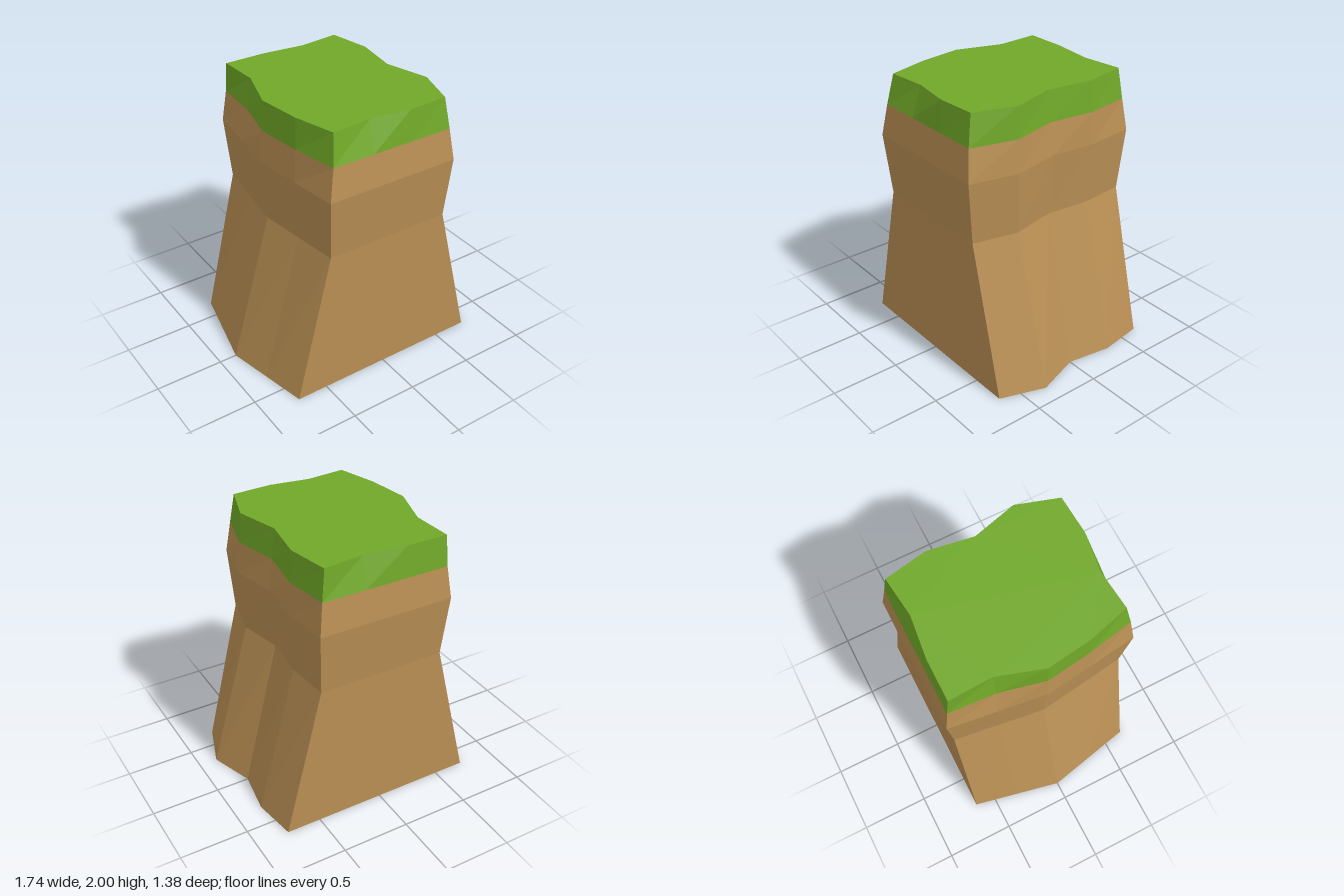
import * as THREE from 'three';

const brown = new THREE.MeshStandardMaterial({ color: 0xb98f54, flatShading: true });
const green = new THREE.MeshStandardMaterial({ color: 0x70a828, flatShading: true });

// Outline at one height, running from the back right corner anticlockwise seen from above.
// left: x of the left-hand side in the top plan, back to front; right: front to back.
function ring(y, depth, left, right) {
  const zs = [-1, -0.5, 0, 0.5, 1].map(t => t * depth);
  const pts = left.map((x, i) => [x, y, zs[i]]);
  const edge = (x0, x1, z) => [1 / 3, 2 / 3].map(t => [x0 + (x1 - x0) * t, y, z]);
  pts.push(...edge(left[4], right[0], depth));
  right.forEach((x, i) => pts.push([x, y, zs[4 - i]]));
  pts.push(...edge(right[4], left[0], -depth));
  return pts;
}

// Skin between successive outlines
function wall(rings) {
  const pos = [];
  for (let k = 0; k < rings.length - 1; k++) {
    const lo = rings[k], hi = rings[k + 1], n = lo.length;
    for (let i = 0; i < n; i++) {
      const j = (i + 1) % n;
      pos.push(...lo[i], ...lo[j], ...hi[j], ...lo[i], ...hi[j], ...hi[i]);
    }
  }
  const g = new THREE.BufferGeometry();
  g.setAttribute('position', new THREE.Float32BufferAttribute(pos, 3));
  g.computeVertexNormals();
  return g;
}

// Flat cap over an outline, facing up (dir = 1) or down (dir = -1)
function cap(pts, dir) {
  const shape = new THREE.Shape(pts.map(p => new THREE.Vector2(p[0], -dir * p[2])));
  return new THREE.ShapeGeometry(shape).rotateX(-dir * Math.PI / 2).translate(0, pts[0][1], 0);
}

export function createModel() {
  const group = new THREE.Group();
  const add = (name, geometry, material) => {
    const mesh = new THREE.Mesh(geometry, material);
    mesh.name = name;
    group.add(mesh);
  };

  const foot = ring(0, 0.65, [-0.73, -0.8, -0.87, -0.8, -0.73], [0.755, 0.865, 0.755, 0.805, 0.755]);
  const waist = ring(1.1, 0.65, [-0.46, -0.505, -0.55, -0.505, -0.46], [0.48, 0.55, 0.48, 0.51, 0.48]);
  const shoulder = ring(1.55, 0.692, [-0.49, -0.535, -0.58, -0.535, -0.49], [0.505, 0.58, 0.51, 0.54, 0.505]);
  const turfLine = ring(1.78, 0.663, [-0.465, -0.485, -0.56, -0.515, -0.45], [0.475, 0.56, 0.48, 0.525, 0.475]);

  // Irregular rim of the grass
  const rim = [
    [-0.46, -0.64], [-0.445, -0.33], [-0.55, 0], [-0.505, 0.32], [-0.42, 0.62],
    [-0.13, 0.595], [0.16, 0.64], [0.45, 0.625], [0.545, 0.32], [0.455, 0],
    [0.505, -0.33], [0.445, -0.64], [0.15, -0.605], [-0.16, -0.64],
  ].map(([x, z]) => [x, 2, z]);

  add('rock', wall([foot, waist, shoulder, turfLine]), brown);
  add('rockBase', cap(foot, -1), brown);
  add('grassEdge', wall([turfLine, rim]), green);
  add('grassTop', cap(rim, 1), green);
  return group;
}
